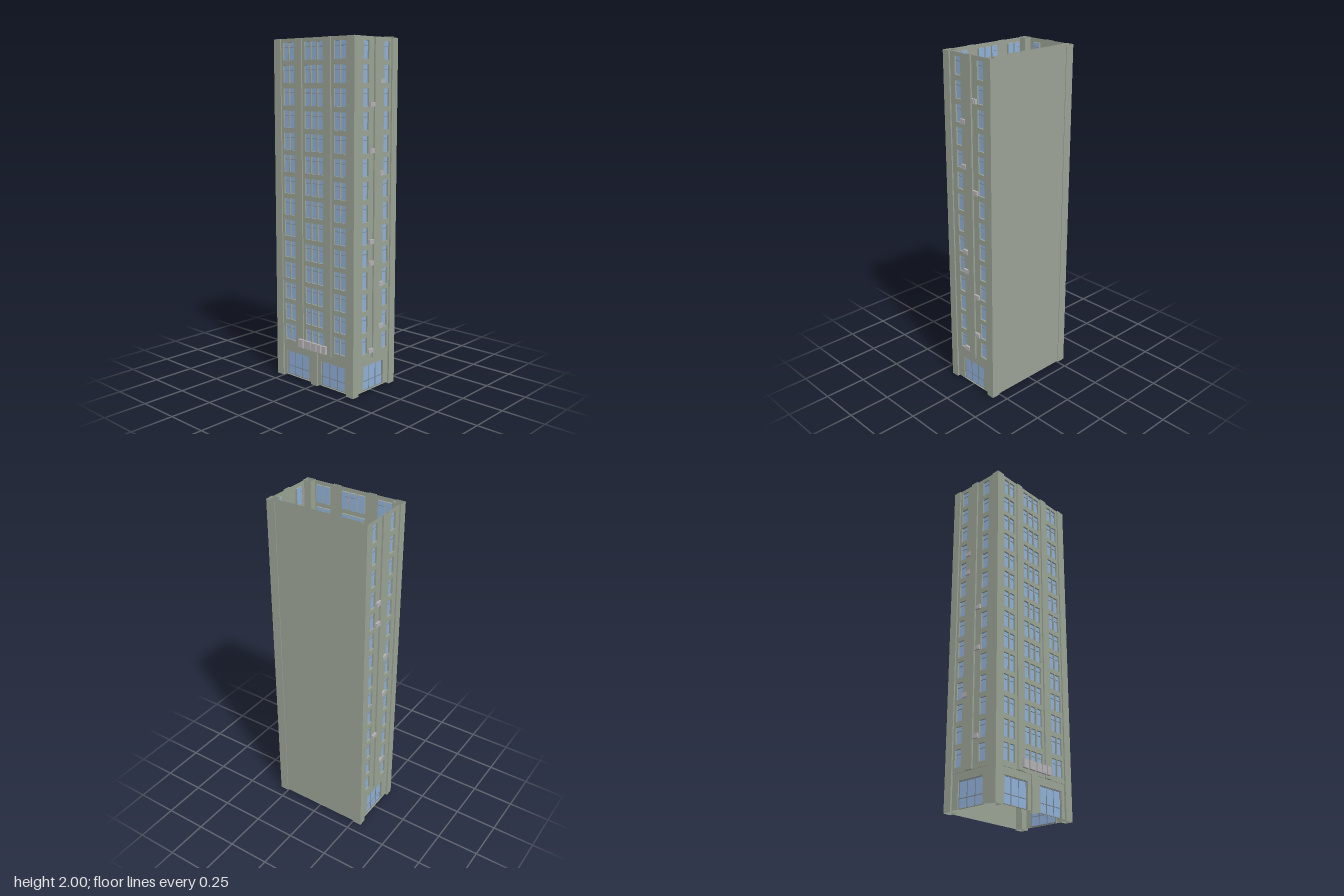
import * as THREE from 'three';
import { mergeGeometries } from 'three/addons/utils/BufferGeometryUtils.js';

const material = (color) => new THREE.MeshStandardMaterial({ color, side: THREE.DoubleSide });
const wallMat = material(0x9aa294);
const glassMat = material(0x8fb0d8);
const frameMat = material(0x7d868f);
const greyMat = material(0xb4b0b4);

const TOP = 1.99, LEDGE = 0.2, ROWS = 14, STEP = 0.1262;

// Box from min/max corners; faces listed in `omit` (px nx py ny pz nz = 0..5) are left out.
function box(x0, x1, y0, y1, z0, z1, omit = []) {
  const g = new THREE.BoxGeometry(x1 - x0, y1 - y0, z1 - z0);
  g.translate((x0 + x1) / 2, (y0 + y1) / 2, (z0 + z1) / 2);
  const index = Array.from(g.index.array).filter((_, i) => !omit.includes(Math.floor(i / 6)));
  g.setIndex(index);
  g.clearGroups();
  return g;
}

function pane(u0, u1, y0, y1, z) {
  return new THREE.PlaneGeometry(u1 - u0, y1 - y0).translate((u0 + u1) / 2, (y0 + y1) / 2, z);
}

function rectPath(Type, u0, u1, y0, y1) {
  return new Type([[u0, y0], [u1, y0], [u1, y1], [u0, y1]].map(([u, y]) => new THREE.Vector2(u, y)));
}

// Flat wall skin at depth z with rectangular openings and their reveals.
function pierced(u0, u1, y0, y1, z, openings, depth) {
  const shape = rectPath(THREE.Shape, u0, u1, y0, y1);
  shape.holes = openings.map((o) => rectPath(THREE.Path, ...o));
  const skin = new THREE.ShapeGeometry(shape).translate(0, 0, z);
  const reveals = openings.map((o) => box(...o, z - depth, z, [4, 5]));
  return mergeGeometries([skin, ...reveals]);
}

function add(group, name, parts, mat) {
  const mesh = new THREE.Mesh(mergeGeometries(parts), mat);
  mesh.name = name;
  group.add(mesh);
}

// One windowed side, facing +z with its upper wall on local z = 0.
function facade(name, { half, columns, width, strips, stripOut, doors }) {
  const group = new THREE.Group();
  group.name = name;

  // Upper floors: grid of windows
  const windows = [];
  for (let row = 0; row < ROWS; row++) {
    const y = 0.23 + row * STEP;
    for (const u of columns) windows.push([u - width / 2, u + width / 2, y, y + 0.097]);
  }
  add(group, 'upperWall', [pierced(-half, half, LEDGE, TOP, 0, windows, 0.011)], wallMat);
  add(group, 'windowGlass', windows.map((w) => pane(...w, -0.0105)), glassMat);
  add(group, 'windowBars', windows.map(([a, b, y]) =>
    box(a, b, y + 0.070, y + 0.073, -0.0105, -0.008)), frameMat);

  // Raised strips between the window columns
  add(group, 'wallStrips', strips.map((u) =>
    box(u - 0.023, u + 0.023, LEDGE, TOP, 0, stripOut, [2, 5])), wallMat);

  // Ground floor with large glazed openings
  add(group, 'groundWall', [
    pierced(-half, half, 0.008, LEDGE, -0.003, doors, 0.011),
    box(-half, half, LEDGE - 0.001, LEDGE, -0.003, 0, [2]),
  ], wallMat);
  add(group, 'entranceGlass', doors.map((d) => pane(...d, -0.0135)), glassMat);
  const bars = [];
  for (const [a, b, y0, y1] of doors) {
    for (const t of [0, 1 / 3, 2 / 3, 1]) {
      const u = a + 0.002 + (b - a - 0.004) * t;
      bars.push(box(u - 0.002, u + 0.002, y0, y1, -0.014, -0.011));
    }
    for (const y of [y0 + 0.002, 0.065, y1 - 0.002]) {
      bars.push(box(a, b, y - 0.002, y + 0.002, -0.014, -0.011));
    }
  }
  add(group, 'entranceFrames', bars, frameMat);
  return group;
}

// Air conditioners beside the middle strip, at [u, y]
function airConditioners(group, places) {
  add(group, 'airConditioners', places.flatMap(([u, y]) => [
    box(u - 0.019, u + 0.019, y - 0.013, y + 0.013, -0.002, 0.012),
    box(u - 0.014, u + 0.008, y - 0.009, y + 0.009, 0.012, 0.0125),
  ]), greyMat);
}

export function createModel() {
  const model = new THREE.Group();

  // Narrow front and back
  const narrow = (name, side) => facade(name, {
    half: 0.15, columns: [-0.087, 0.087], width: 0.045, strips: [0], stripOut: 0.01,
    doors: [[-0.005 * side - 0.088, -0.005 * side + 0.088, 0.01, 0.157]],
  });
  const front = narrow('frontFacade', 1);
  front.position.set(0.015, 0, 0.297);
  airConditioners(front, [
    ...[1.631, 1.38, 0.875, 0.753, 0.244].map((y) => [-0.043, y]),
    ...[1.756, 1.252, 0.62, 0.371].map((y) => [0.043, y]),
  ]);
  const back = narrow('backFacade', -1);
  back.position.set(0.015, 0, -0.297);
  back.rotation.y = Math.PI;
  airConditioners(back, [
    ...[1.505, 1.38, 0.62].map((y) => [-0.043, y]),
    ...[1.125, 0.875, 0.371].map((y) => [0.043, y]),
  ]);

  // Wide side with two entrances
  const wide = facade('wideFacade', {
    half: 0.27, columns: [-0.218, -0.172, -0.049, 0, 0.049, 0.172, 0.218], width: 0.041,
    strips: [-0.11, 0.11], stripOut: 0.008,
    doors: [[-0.23, -0.05, 0.01, 0.157], [0.05, 0.23, 0.01, 0.157]],
  });
  wide.position.x = -0.17;
  wide.rotation.y = -Math.PI / 2;
  add(wide, 'entrancePier', [box(-0.025, 0.025, 0, LEDGE, -0.013, 0.006, [2, 3])], wallMat);
  model.add(front, back, wide);

  // Blank side wall
  add(model, 'blankWall', [pane(-0.275, 0.275, 0.005, 2, 0).rotateY(Math.PI / 2).translate(0.184, 0, 0)], wallMat);

  // Hollow corner pillars
  const pillars = [];
  for (const [x0, x1] of [[-0.178, -0.13], [0.14, 0.188]]) {
    for (const [z0, z1] of [[-0.305, -0.253], [0.253, 0.305]]) {
      pillars.push(box(x0, x1, 0, TOP, z0, z1, [2, 3]));
    }
  }
  add(model, 'cornerPillars', pillars, wallMat);

  // Row of plain sign blocks above the entrances
  const blocks = [[-0.11, -0.072], [-0.06, -0.012], [-0.005, 0.033], [0.041, 0.071], [0.081, 0.11]];
  add(model, 'signBlocks', blocks.map(([a, b]) => box(-0.197, -0.182, 0.215, 0.262, a, b)), greyMat);
  return model;
}
